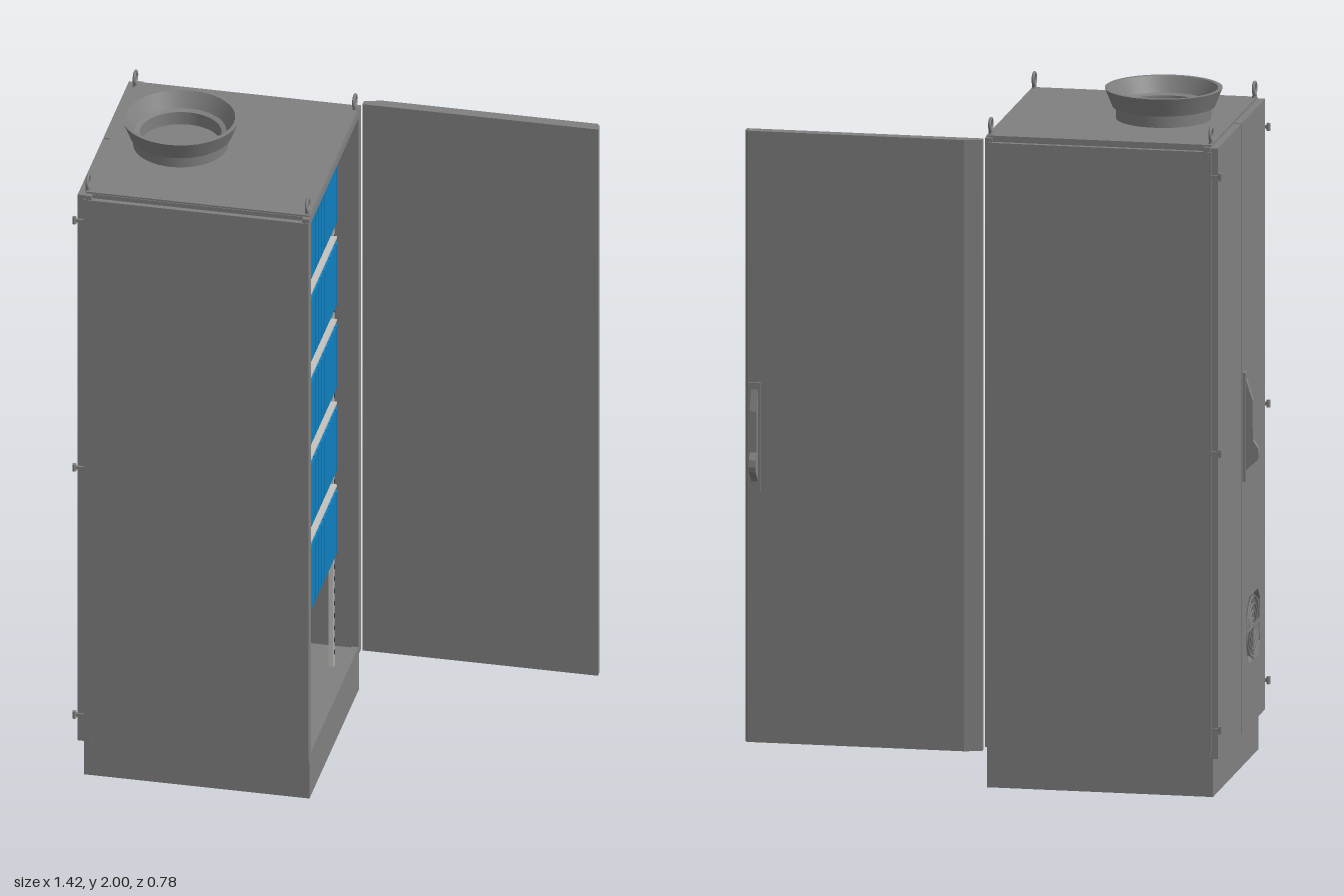
import * as THREE from 'three';

export function createModel() {
  const root = new THREE.Group();
  const paint = (name, color) => {
    const m = new THREE.MeshStandardMaterial({ color });
    m.name = name;
    return m;
  };
  const grey = paint('cabinet grey', 0x808080);
  const light = paint('galvanised light grey', 0xc4c2be);
  const blue = paint('module blue', 0x0e80c0);
  const dark = paint('dark slot', 0x2b3a44);

  const add = (name, geo, mat, parent = root) => {
    const m = new THREE.Mesh(geo, mat);
    m.name = name;
    parent.add(m);
    return m;
  };
  // Box given by its limits on each axis
  const box = (name, x0, x1, y0, y1, z0, z1, mat = grey, parent = root) => {
    const g = new THREE.BoxGeometry(x1 - x0, y1 - y0, z1 - z0);
    g.translate((x0 + x1) / 2, (y0 + y1) / 2, (z0 + z1) / 2);
    return add(name, g, mat, parent);
  };
  const rect = (a0, a1, b0, b1, C = THREE.Shape) => new C([
    [a0, b0], [a1, b0], [a1, b1], [a0, b1]].map(p => new THREE.Vector2(...p)));
  const poly = pts => new THREE.Shape(pts.map(p => new THREE.Vector2(...p)));
  // Plate drawn in (z, y), reaching from x1 down to x1 - depth
  const sidePlate = (name, shape, x1, depth, mat = grey) => {
    const g = new THREE.ExtrudeGeometry(shape, { depth, bevelEnabled: false, curveSegments: 8 });
    g.rotateY(-Math.PI / 2).translate(x1, 0, 0);
    return add(name, g, mat);
  };

  // Plinth and shell
  box('plinth', -0.65, 0.01, 0, 0.12, -0.288, 0.368);
  box('floor', -0.645, 0.005, 0.12, 0.14, -0.3, 0.375);
  box('roof', -0.645, 0.01, 1.885, 1.91, -0.293, 0.368);
  for (const [z0, z1, zi0, zi1] of [[0.368, 0.385, 0.355, 0.37], [-0.308, -0.291, -0.293, -0.278]]) {
    box('sidePanel', -0.648, 0.01, 0.135, 1.892, z0, z1);
    box('sideInnerSkin', -0.645, 0.008, 0.122, 1.905, zi0, zi1);
  }

  // Opening frames at both ends
  for (const x of [0.012, -0.625]) {
    const s = rect(-0.306, 0.383, 0.122, 1.905);
    s.holes.push(rect(-0.272, 0.355, 0.147, 1.88, THREE.Path));
    sidePlate('openingFrame', s, x, 0.02);
  }

  // Pair of closed doors with a narrow gap, one with a vent cut-out
  const fanZ = 0.21, fanY = 0.395;
  sidePlate('closedDoor', rect(-0.303, 0.037, 0.115, 1.903), -0.646, 0.021);
  const ventDoor = rect(0.043, 0.378, 0.115, 1.903);
  const c = 0.062, h = 0.097;
  ventDoor.holes.push(new THREE.Path([
    [c, -h], [h, -c], [h, c], [c, h], [-c, h], [-h, c], [-h, -c], [-c, -h],
  ].map(([a, b]) => new THREE.Vector2(fanZ + a, fanY + b))));
  sidePlate('ventDoor', ventDoor, -0.646, 0.021);

  // Vent guard: rings, hub and cross bars
  const guard = new THREE.Group();
  guard.name = 'ventGuard';
  guard.position.set(-0.665, fanY, fanZ);
  guard.rotation.y = Math.PI / 2;
  root.add(guard);
  for (const r of [0.025, 0.045, 0.066, 0.087])
    add('guardRing', new THREE.TorusGeometry(r, 0.003, 6, 32), grey, guard);
  for (const a of [0, Math.PI / 2])
    add('guardBar', new THREE.BoxGeometry(0.195, 0.007, 0.006).rotateZ(a), grey, guard);
  add('guardHub', new THREE.CylinderGeometry(0.012, 0.012, 0.008, 16).rotateX(Math.PI / 2), grey, guard);

  // Open door with a chamfered hinge edge
  const doorShape = poly([[0.015, 0.312], [0.705, 0.312], [0.705, 0.335], [0.697, 0.345], [0.065, 0.345], [0.015, 0.33]]);
  const doorGeo = new THREE.ExtrudeGeometry(doorShape, { depth: 1.79, bevelEnabled: false });
  add('openDoor', doorGeo.rotateX(-Math.PI / 2).translate(0, 0.115, 0), grey);

  // Swing handles
  const handle = (x, z, turn) => {
    const g = new THREE.Group();
    g.name = 'doorHandle';
    const grip = poly([[0, 0.87], [0.015, 0.89], [0.043, 0.915], [0.046, 0.93], [0.043, 0.95],
      [0.029, 0.97], [0.027, 1.09], [0.008, 1.15], [0, 1.15]]);
    add('handleGrip', new THREE.ExtrudeGeometry(grip, { depth: 0.02, bevelEnabled: false })
      .translate(0, 0, -0.01), grey, g);
    box('handlePlate', -0.002, 0.008, 0.85, 1.17, -0.016, 0.016, grey, g);
    g.position.set(x, 0, z);
    g.rotation.y = turn;
    root.add(g);
  };
  handle(0.675, -0.345, Math.PI / 2);
  handle(-0.667, 0.07, Math.PI);

  // Hinges and lifting eyes
  for (const z of [0.381, -0.306])
    for (const y of [0.2, 1.01, 1.82]) {
      add('hinge', new THREE.CylinderGeometry(0.006, 0.006, 0.022, 12).translate(-0.676, y, z), grey);
      box('hingeLeaf', -0.677, -0.645, y - 0.005, y + 0.005, z - 0.003, z + 0.003);
    }
  for (const x of [-0.641, 0.002])
    for (const z of [0.355, -0.27]) {
      add('liftingEye', new THREE.TorusGeometry(0.018, 0.0045, 8, 24).rotateY(Math.PI / 2).translate(x, 1.937, z), grey);
      add('eyeStem', new THREE.CylinderGeometry(0.006, 0.008, 0.015, 12).translate(x, 1.914, z), grey);
    }

  // Roof duct collar, flaring upward
  const profile = [[0.117, 1.908], [0.136, 1.908], [0.138, 1.945], [0.147, 1.946], [0.169, 2], [0.156, 2], [0.131, 1.955], [0.117, 1.95], [0.117, 1.908]];
  profile.slice(0, -1).forEach((p, i) => {
    const pair = [p, profile[i + 1]].map(q => new THREE.Vector2(...q));
    add('ductCollar', new THREE.LatheGeometry(pair, 48).translate(-0.44, 0, 0.038), grey);
  });

  // Mounting rails with slots
  for (const x of [-0.035, -0.4])
    for (const z of [0.243, -0.161]) {
      box('mountingRail', x - 0.015, x, 0.14, 1.885, z - 0.007, z + 0.007, light);
      for (let y = 0.18; y < 1.87; y += 0.04)
        box('railSlot', x, x + 0.002, y, y + 0.012, z - 0.003, z + 0.003, dark);
    }

  // Five racks of plug-in modules
  const seams = [0.23, 0.156, 0.117, 0.077, 0.037, 0, -0.041, -0.081, -0.121, -0.145];
  for (let row = 0; row < 5; row++) {
    const y0 = 0.525 + row * 0.271, y1 = y0 + 0.208;
    box('rackTop', -0.4, -0.025, y1, y1 + 0.007, -0.155, 0.238, light);
    box('rackBase', -0.4, -0.025, y0 - 0.007, y0, -0.155, 0.238, light);
    box('rackCore', -0.38, -0.03, y0, y1, -0.145, 0.23, dark);
    for (let i = 0; i < seams.length - 1; i++)
      box('moduleFront', -0.03, -0.02, y0 + 0.003, y1 - 0.003, seams[i + 1] + 0.002, seams[i] - 0.002, blue);
  }
  return root;
}
